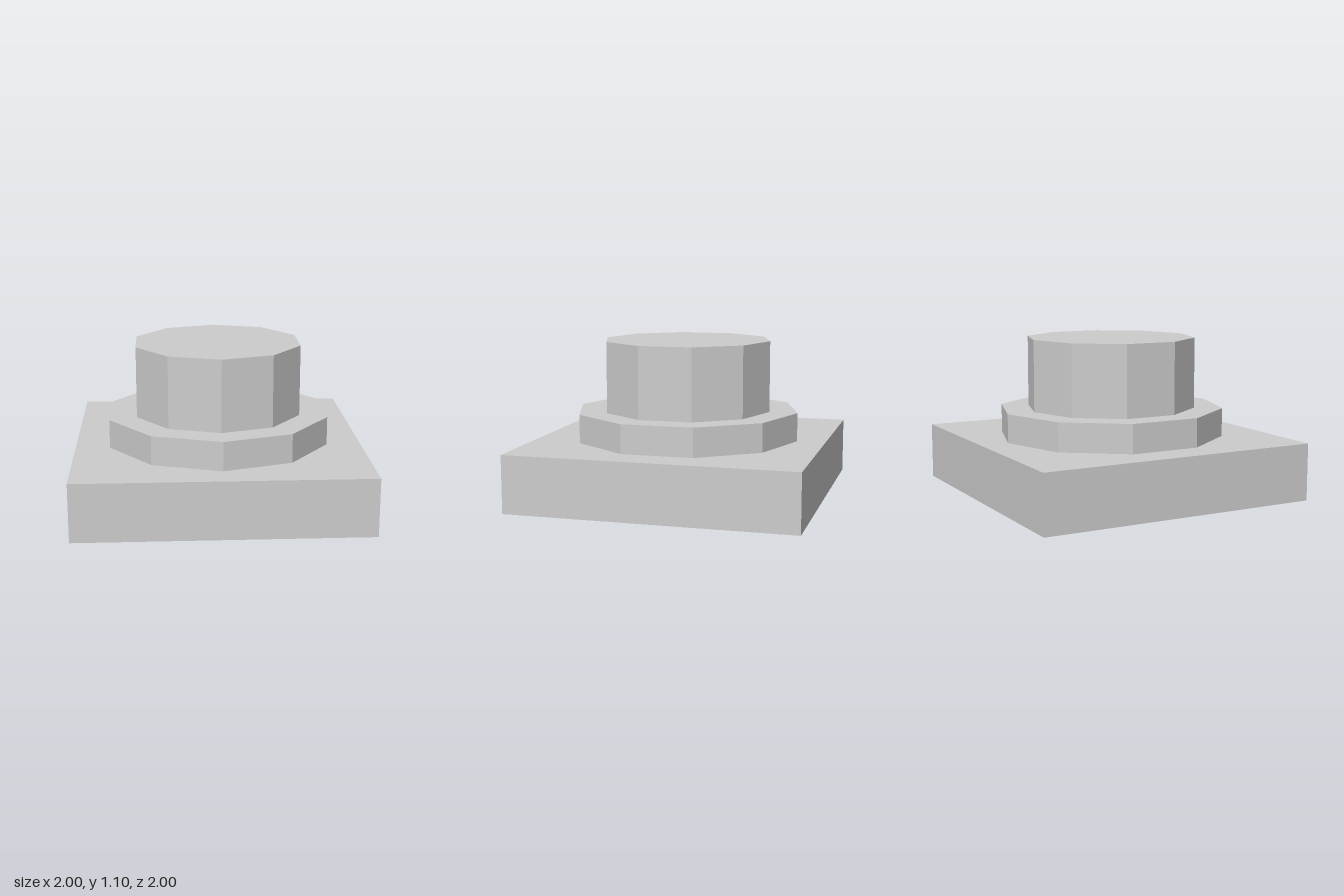
import * as THREE from 'three';

export function createModel() {
  const model = new THREE.Group();
  model.name = 'steppedPedestal';

  const lightGrey = new THREE.MeshStandardMaterial({ color: 0xcccccc, flatShading: true });
  lightGrey.name = 'lightGrey';

  // Adds a part whose underside rests at the given height
  function addPart(name, geometry, height, bottom) {
    const mesh = new THREE.Mesh(geometry, lightGrey);
    mesh.name = name;
    mesh.position.y = bottom + height / 2;
    model.add(mesh);
  }

  // Ten-sided prism with corners pointing to the front and back
  const decagon = (radius, height) => new THREE.CylinderGeometry(radius, radius, height, 10);

  // Square base, wide collar and upper drum
  addPart('base', new THREE.BoxGeometry(2, 0.4, 2), 0.4, 0);
  addPart('collar', decagon(0.8, 0.2), 0.2, 0.4);
  addPart('drum', decagon(0.6, 0.5), 0.5, 0.6);

  return model;
}
